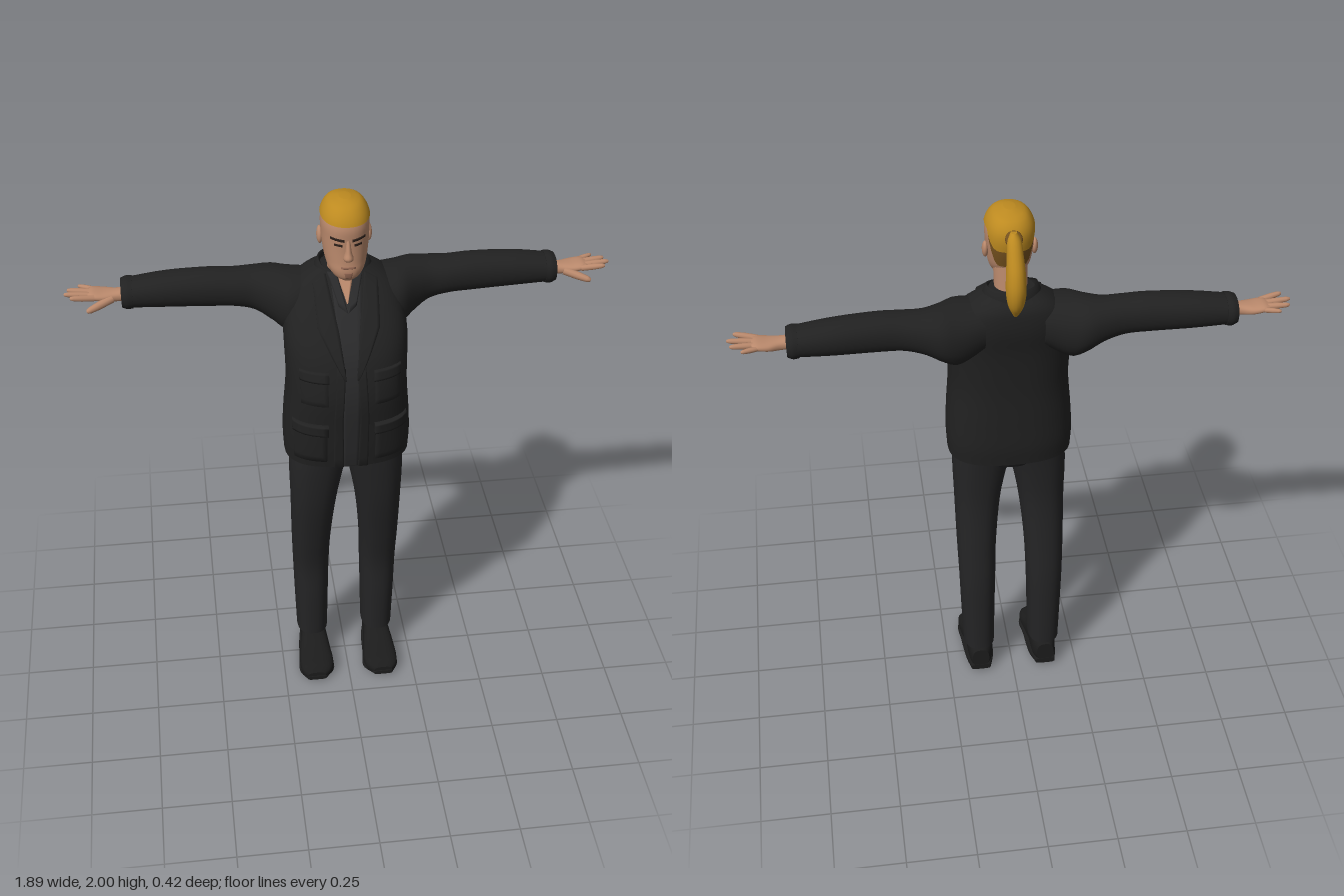
import * as THREE from 'three';

const mat = (name, color, side = THREE.DoubleSide) => {
  const m = new THREE.MeshStandardMaterial({ color, side });
  m.name = name;
  return m;
};
const jacket = mat('jacket black', 0x212121);
const trousers = mat('trouser charcoal', 0x242425);
const shirt = mat('shirt grey', 0x2a2a2b);
const leather = mat('shoe black', 0x1c1c1c);
const skin = mat('skin', 0xba896c);
const stubble = mat('lips and stubble', 0x966a55);
const hair = mat('golden hair', 0xbd8a20);
const hairDark = mat('brown hair', 0x76521f);
const feature = mat('eyes and brows', 0x2c201a);

// Surface grid; P(u, v) with u, v in 0..1
function grid(P, nu, nv, { closed = false, flip = false, caps = false } = {}) {
  const pos = [], idx = [], cols = closed ? nu : nu + 1;
  for (let j = 0; j <= nv; j++)
    for (let i = 0; i < cols; i++) pos.push(...P(i / nu, j / nv));
  const tri = (a, b, c) => (flip ? idx.push(a, c, b) : idx.push(a, b, c));
  for (let j = 0; j < nv; j++)
    for (let i = 0; i < nu; i++) {
      const a = j * cols + i, b = j * cols + ((i + 1) % cols);
      tri(a, b, b + cols);
      tri(a, b + cols, a + cols);
    }
  if (caps)
    for (const v of [0, 1]) {
      const base = pos.length / 3, mid = [0, 0, 0];
      for (let i = 0; i < nu; i++) {
        const p = P(i / nu, v);
        pos.push(...p);
        p.forEach((c, k) => (mid[k] += c / nu));
      }
      pos.push(...mid);
      for (let i = 0; i < nu; i++) {
        const a = base + i, b = base + ((i + 1) % nu);
        v ? tri(a, b, base + nu) : tri(b, a, base + nu);
      }
    }
  const g = new THREE.BufferGeometry();
  g.setAttribute('position', new THREE.Float32BufferAttribute(pos, 3));
  g.setIndex(idx);
  g.computeVertexNormals();
  return g;
}

// Smoothly interpolated cross-section at t; sections are [t, a0, a1, b0, b1]
function sectionAt(S, t) {
  let i = 0;
  while (i < S.length - 2 && t > S[i + 1][0]) i++;
  const h = S[i + 1][0] - S[i][0], s = (t - S[i][0]) / h;
  const slope = (n, k) => {
    const p = S[Math.max(n - 1, 0)], q = S[Math.min(n + 1, S.length - 1)];
    return (q[k] - p[k]) / (q[0] - p[0]);
  };
  return [1, 2, 3, 4].map((k) =>
    (2 * s ** 3 - 3 * s * s + 1) * S[i][k] + (s ** 3 - 2 * s * s + s) * h * slope(i, k) +
    (3 * s * s - 2 * s ** 3) * S[i + 1][k] + (s ** 3 - s * s) * h * slope(i + 1, k));
}
function ringPoint(S, t, angle, p, grow = 0) {
  const [a0, a1, b0, b1] = sectionAt(S, t);
  const pw = (c) => Math.sign(c) * Math.abs(c) ** (2 / p);
  return [(a0 + a1) / 2 + ((a1 - a0) / 2 + grow) * pw(Math.cos(angle)),
    (b0 + b1) / 2 + ((b1 - b0) / 2 + grow) * pw(Math.sin(angle))];
}
function loft(S, axis = 'y', p = 2, nu = 28) {
  const t0 = S[0][0], t1 = S[S.length - 1][0];
  return grid((u, v) => {
    const t = t0 + (t1 - t0) * v, [a, b] = ringPoint(S, t, u * Math.PI * 2, p);
    return axis === 'y' ? [a, t, b] : axis === 'x' ? [t, a, b] : [a, b, t];
  }, nu, S.length * 4, { closed: true, flip: axis === 'y', caps: true });
}
// Thin plate lying on the front of a vertical loft, between two [x, y] edges
function plate(S, p, inner, outer, off = 0.006) {
  const nu = 8, nv = (inner.length - 1) * 6 + 2;
  const along = (E, v) => {
    const f = v * (E.length - 1), i = Math.min(Math.floor(f), E.length - 2), s = f - i;
    return [0, 1].map((k) => E[i][k] * (1 - s) + E[i + 1][k] * s);
  };
  const clamp = (w, n) => Math.min(Math.max((w * n - 1) / (n - 2), 0), 1);
  return grid((u, v) => {
    const rim = u === 0 || u === 1 || v === 0 || v === 1, uu = clamp(u, nu);
    const A = along(inner, clamp(v, nv)), B = along(outer, clamp(v, nv));
    const x = A[0] + (B[0] - A[0]) * uu, y = A[1] + (B[1] - A[1]) * uu;
    const [a0, a1, b0, b1] = sectionAt(S, y);
    const q = Math.min(Math.abs((x - (a0 + a1) / 2) / ((a1 - a0) / 2)), 1);
    return [x, y, (b0 + b1) / 2 + (b1 - b0) / 2 * (1 - q ** p) ** (1 / p) + (rim ? -0.003 : off)];
  }, nu, nv);
}
function mirror(g) {
  const m = g.clone().scale(-1, 1, 1), a = m.index.array;
  for (let i = 0; i < a.length; i += 3) [a[i], a[i + 1]] = [a[i + 1], a[i]];
  return m;
}
// Tapered, round-tipped finger from a to b
function finger(a, b, r) {
  const A = new THREE.Vector3(...a), d = new THREE.Vector3(...b).sub(A), L = d.length();
  const prof = [[r, 0], [r, L * 0.5], [r * 0.8, L * 0.85], [r * 0.5, L * 0.97], [0, L]];
  const g = new THREE.LatheGeometry(prof.map((q) => new THREE.Vector2(...q)), 10);
  g.applyQuaternion(new THREE.Quaternion().setFromUnitVectors(new THREE.Vector3(0, 1, 0), d.normalize()));
  return g.translate(...a);
}

const sym = (rows) => rows.map(([y, w, zb, zf]) => [y, -w, w, zb, zf]);
const TORSO = sym([[1.03, 0.222, -0.13, 0.175], [1.1, 0.225, -0.138, 0.185], [1.2, 0.22, -0.138, 0.195],
  [1.33, 0.21, -0.138, 0.206], [1.45, 0.212, -0.145, 0.185], [1.52, 0.212, -0.152, 0.153],
  [1.6, 0.2, -0.165, 0.097], [1.66, 0.175, -0.165, 0.048], [1.7, 0.13, -0.155, 0.016], [1.725, 0.085, -0.125, 0]]);
const HEAD = sym([[1.732, 0.025, 0, 0.088], [1.745, 0.045, -0.015, 0.1], [1.77, 0.062, -0.045, 0.105],
  [1.8, 0.071, -0.075, 0.102], [1.84, 0.077, -0.09, 0.1], [1.88, 0.08, -0.1, 0.1], [1.92, 0.081, -0.105, 0.1],
  [1.95, 0.075, -0.1, 0.09], [1.975, 0.06, -0.083, 0.07], [1.988, 0.042, -0.06, 0.048], [1.995, 0.015, -0.025, 0.02]]);

export function createModel() {
  const model = new THREE.Group();
  const add = (name, g, m) => {
    const mesh = new THREE.Mesh(g, m);
    mesh.name = name;
    model.add(mesh);
  };
  const pair = (name, g, m) => {
    add(name + 'Left', g, m);
    add(name + 'Right', mirror(g), m);
  };

  // Trousers and shoes
  pair('trouserLeg', loft([[0.12, 0.068, 0.186, -0.12, 0.042], [0.3, 0.064, 0.192, -0.118, 0.045],
    [0.45, 0.06, 0.196, -0.114, 0.045], [0.6, 0.054, 0.2, -0.1, 0.072], [0.8, 0.034, 0.203, -0.084, 0.11],
    [0.95, 0.006, 0.206, -0.09, 0.126], [1.06, -0.02, 0.2, -0.1, 0.132]], 'y', 2.4), trousers);
  add('hips', loft(sym([[0.985, 0.1, -0.085, 0.115], [1.02, 0.18, -0.1, 0.13], [1.1, 0.19, -0.1, 0.13]]), 'y', 2.5), trousers);
  pair('shoe', loft([[-0.12, 0.095, 0.16, 0.025, 0.11], [-0.09, 0.08, 0.17, 0.012, 0.13], [0, 0.074, 0.175, 0.012, 0.13],
    [0.06, 0.066, 0.185, 0.01, 0.092], [0.12, 0.06, 0.19, 0.005, 0.07], [0.16, 0.07, 0.184, 0.005, 0.058],
    [0.18, 0.095, 0.165, 0.012, 0.04]], 'z', 2.6), leather);
  pair('sole', loft([[-0.122, 0.09, 0.165, 0.012, 0.035], [-0.05, 0.072, 0.178, 0, 0.025], [0.06, 0.064, 0.188, 0, 0.022],
    [0.13, 0.058, 0.192, 0, 0.022], [0.184, 0.095, 0.165, 0.008, 0.024]], 'z', 4), leather);

  // Jacket body, sleeves and cuffs
  add('jacketBody', loft(TORSO, 'y', 2.6, 40), jacket);
  pair('sleeve', loft([[0.1, 1.52, 1.69, -0.165, 0.02], [0.19, 1.475, 1.694, -0.195, 0.035], [0.24, 1.5, 1.694, -0.203, -0.005],
    [0.3, 1.537, 1.69, -0.19, -0.04], [0.37, 1.556, 1.69, -0.178, -0.046], [0.45, 1.56, 1.694, -0.178, -0.05],
    [0.6, 1.565, 1.686, -0.184, -0.056], [0.73, 1.57, 1.668, -0.18, -0.064]], 'x', 2.2), jacket);
  pair('cuff', loft([[0.715, 1.567, 1.672, -0.184, -0.06], [0.735, 1.565, 1.672, -0.185, -0.06],
    [0.753, 1.572, 1.665, -0.178, -0.066]], 'x', 2.2), jacket);

  // Jacket front: shirt strip, plackets, lapels, pockets with flaps
  add('shirtFront', plate(TORSO, 2.6, [[-0.025, 1.035], [-0.03, 1.45], [-0.05, 1.7]], [[0.025, 1.035], [0.03, 1.45], [0.05, 1.7]], 0.003), shirt);
  add('openNeck', plate(TORSO, 2.6, [[-0.002, 1.635], [-0.03, 1.72]], [[0.002, 1.635], [0.03, 1.72]], 0.007), skin);
  pair('shirtCollar', plate(TORSO, 2.6, [[0, 1.61], [0.028, 1.72]], [[0.03, 1.63], [0.06, 1.72]], 0.01), shirt);
  pair('placket', plate(TORSO, 2.6, [[0.025, 1.033], [0.03, 1.25], [0.02, 1.45]], [[0.06, 1.033], [0.06, 1.25], [0.05, 1.45]], 0.007), jacket);
  pair('lapel', plate(TORSO, 2.6, [[0.018, 1.41], [0.035, 1.56], [0.065, 1.715]], [[0.024, 1.41], [0.105, 1.57], [0.11, 1.69]], 0.012), jacket);
  const pocket = (name, x0, x1, y0, y1, off) =>
    pair(name, plate(TORSO, 2.6, [[x0, y0], [x0, y1]], [[x1, y0], [x1, y1]], off), jacket);
  pocket('lowerPocket', 0.085, 0.195, 1.065, 1.2, 0.012);
  pocket('lowerFlap', 0.08, 0.2, 1.185, 1.225, 0.02);
  pocket('breastPocket', 0.08, 0.17, 1.31, 1.42, 0.007);
  pocket('breastFlap', 0.077, 0.174, 1.4, 1.435, 0.012);

  // Folded jacket collar, open at the front
  const fold = [[0.84, 1.68], [0.86, 1.74], [0.93, 1.748], [1.06, 1.72], [1.2, 1.68]];
  add('collar', grid((u, v) => {
    const a = Math.PI * (0.7 + u * 1.6), [r, y] = fold[Math.round(v * 4)];
    const dip = 0.03 * Math.max(Math.sin(a), 0);
    return [Math.cos(a) * 0.092 * r, y - dip, -0.058 + Math.sin(a) * 0.078 * r];
  }, 32, 4), jacket);

  // Hands
  pair('palm', loft([[0.72, 1.597, 1.64, -0.145, -0.092], [0.77, 1.595, 1.635, -0.147, -0.09], [0.81, 1.6, 1.634, -0.16, -0.083],
    [0.85, 1.609, 1.636, -0.162, -0.082], [0.865, 1.614, 1.632, -0.155, -0.09]], 'x', 2.4), skin);
  [[-0.09, 0.925, -0.075], [-0.111, 0.947, -0.11], [-0.133, 0.937, -0.143], [-0.153, 0.9, -0.175]].forEach(([z, x, tz], i) =>
    pair('finger' + (i + 1), finger([0.845, 1.621, z], [x, 1.634 - i * 0.003, tz], i === 3 ? 0.009 : 0.011), skin));
  pair('thumb', finger([0.785, 1.612, -0.095], [0.872, 1.592, -0.05], 0.014), skin);

  // Head, neck and face
  add('neck', loft(sym([[1.62, 0.06, -0.1, 0.02], [1.7, 0.056, -0.092, 0.02], [1.82, 0.058, -0.082, 0.03]])), skin);
  add('head', loft(HEAD, 'y', 2.2, 36), skin);
  add('nose', loft(sym([[1.81, 0.012, 0.08, 0.106], [1.822, 0.017, 0.08, 0.123], [1.845, 0.011, 0.08, 0.117],
    [1.885, 0.007, 0.08, 0.103]]), 'y', 2, 14), skin);
  pair('ear', new THREE.SphereGeometry(1, 14, 10).scale(0.011, 0.031, 0.02).rotateX(-0.2).translate(0.082, 1.855, -0.018), skin);
  pair('brow', plate(HEAD, 2.2, [[0.013, 1.882], [0.013, 1.89]], [[0.058, 1.888], [0.058, 1.895]], 0.004), feature);
  pair('eye', plate(HEAD, 2.2, [[0.02, 1.864], [0.02, 1.872]], [[0.046, 1.866], [0.046, 1.873]], 0.002), feature);
  add('mouth', plate(HEAD, 2.2, [[-0.024, 1.784], [-0.024, 1.791]], [[0.024, 1.784], [0.024, 1.791]], 0.003), stubble);
  add('chinBeard', plate(HEAD, 2.2, [[-0.01, 1.748], [-0.014, 1.77]], [[0.01, 1.748], [0.014, 1.77]], 0.002), stubble);

  // Hair: shaved brown underlayer at the back, golden crown above it
  const hairLayer = (low, grow) => grid((u, v) => {
    const a = u * Math.PI * 2, back = Math.max(0, -Math.sin(a) - 0.35) / 0.65;
    const start = 1.943 - 0.008 * Math.max(Math.sin(a), 0) - low * Math.min(1, back * 1.6);
    const y = start + (1.995 - start) * v, [x, z] = ringPoint(HEAD, y, a, 2.2, grow);
    return [x, y + grow * v, z];
  }, 40, 14, { closed: true, flip: true, caps: false });
  add('hairUnderlayer', hairLayer(0.125, 0.002), hairDark);
  add('hairCrown', hairLayer(0.06, 0.005), hair);
  add('crownTop', new THREE.SphereGeometry(1, 20, 8).scale(0.036, 0.006, 0.045).translate(0, 1.994, -0.003), hair);

  // Ponytail with its tie
  add('ponytail', loft(sym([[1.675, 0.007, -0.165, -0.15], [1.72, 0.026, -0.198, -0.128], [1.78, 0.034, -0.21, -0.125],
    [1.84, 0.032, -0.199, -0.12], [1.9, 0.027, -0.17, -0.108], [1.94, 0.022, -0.145, -0.095], [1.962, 0.01, -0.125, -0.095]]), 'y', 2, 18), hair);
  add('hairTie', new THREE.TorusGeometry(0.021, 0.008, 8, 18).rotateX(0.5).translate(0, 1.937, -0.114), hairDark);
  return model;
}
